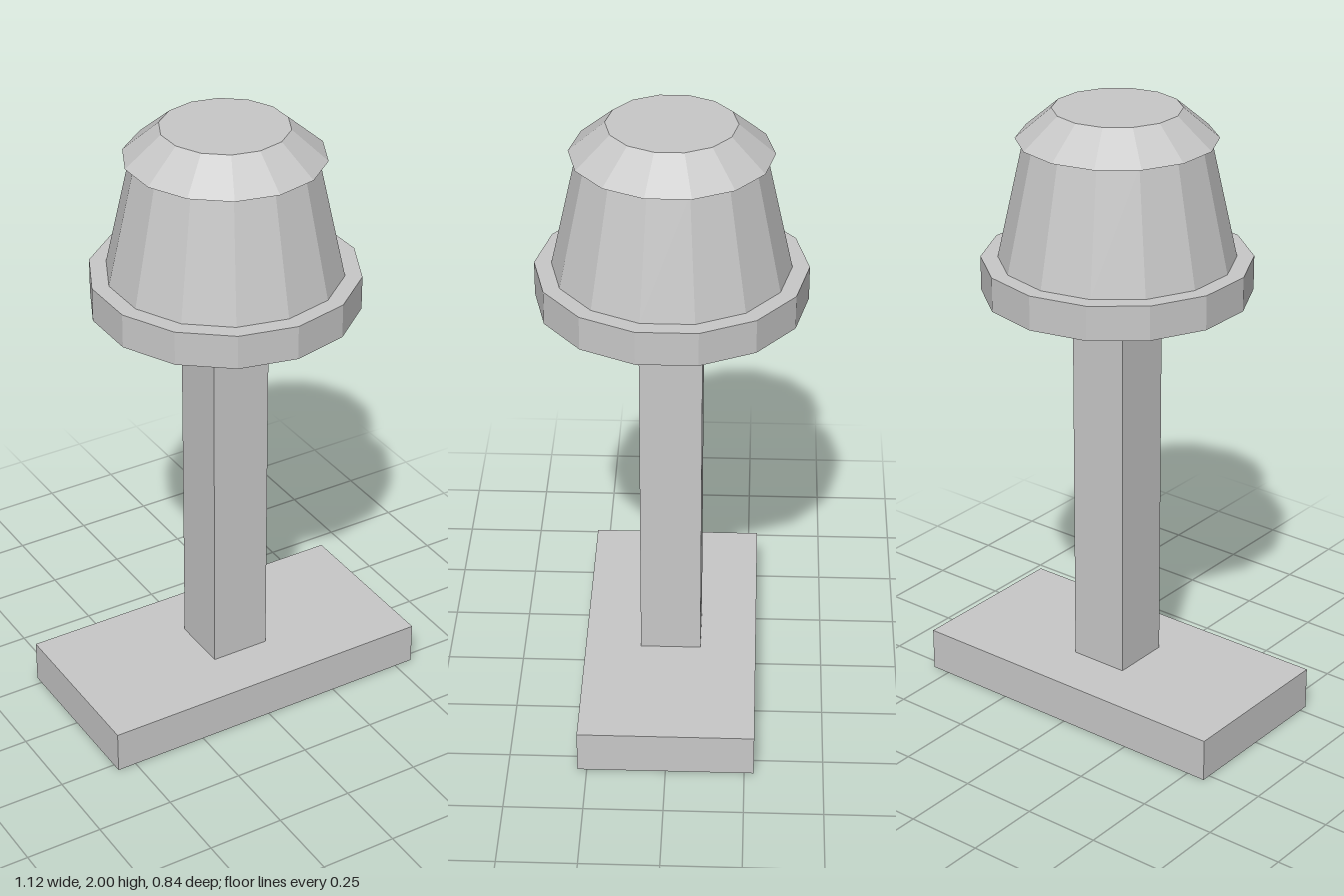
import * as THREE from 'three';

const SIDES = 14;

export function createModel() {
  const lamp = new THREE.Group();
  lamp.name = 'lamp';

  const grey = new THREE.MeshStandardMaterial({ color: 0xc8c8c8, flatShading: true });
  grey.name = 'light grey';

  // Place a part so that it spans from y0 to y1
  const add = (name, geometry, y0, y1) => {
    const mesh = new THREE.Mesh(geometry, grey);
    mesh.name = name;
    mesh.position.y = (y0 + y1) / 2;
    lamp.add(mesh);
  };
  const block = (name, width, depth, y0, y1) =>
    add(name, new THREE.BoxGeometry(width, y1 - y0, depth), y0, y1);
  const ring = (name, bottomRadius, topRadius, y0, y1) =>
    add(name, new THREE.CylinderGeometry(topRadius, bottomRadius, y1 - y0, SIDES), y0, y1);

  // Foot and square post
  block('base', 1.125, 0.56, 0, 0.14);
  block('post', 0.196, 0.196, 0.14, 1.415);

  // Faceted lamp head
  ring('rim', 0.42, 0.42, 1.415, 1.525);
  ring('shade', 0.367, 0.283, 1.525, 1.905);
  ring('cap', 0.309, 0.198, 1.905, 2);

  return lamp;
}
